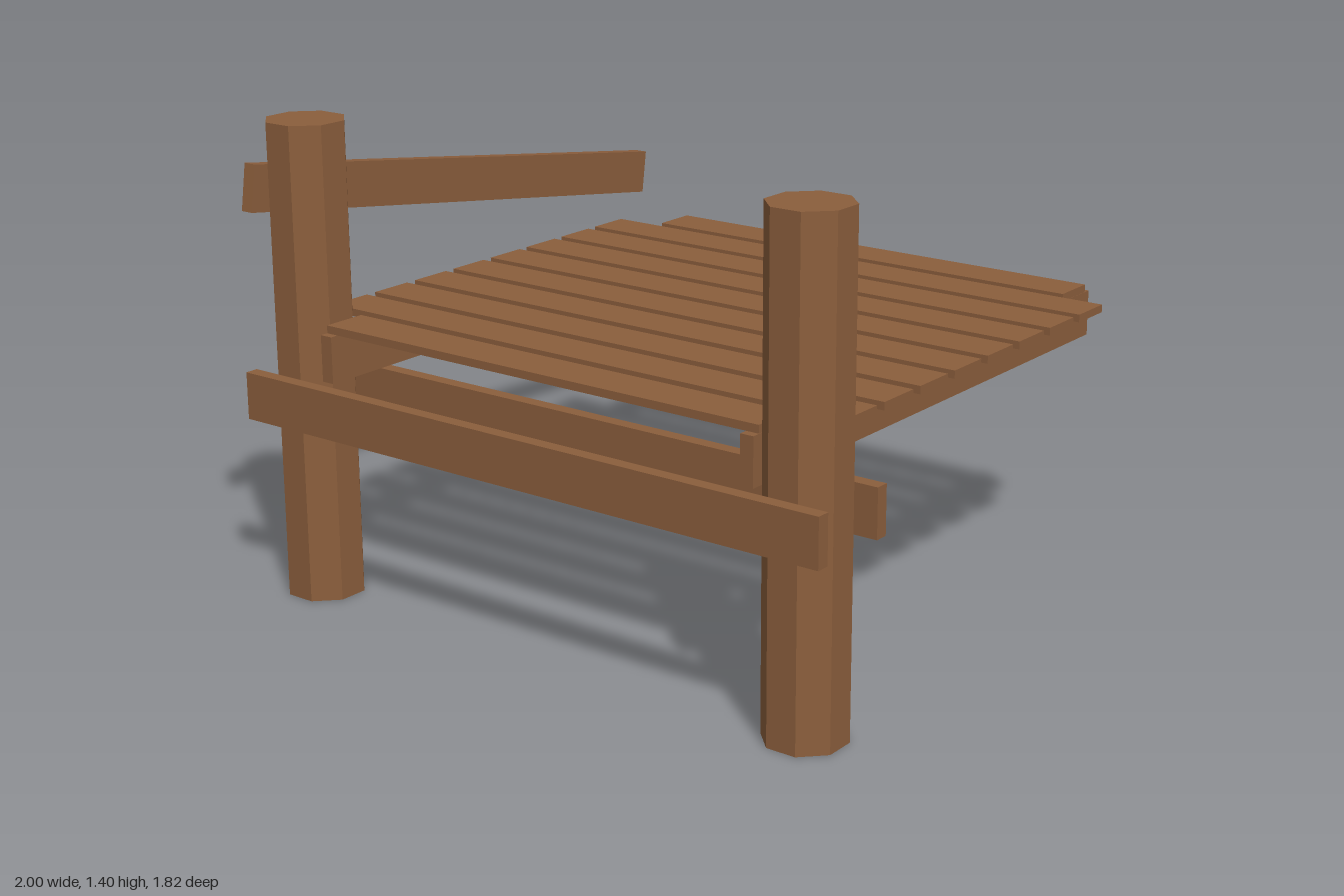
import * as THREE from 'three';

export function createModel() {
  const group = new THREE.Group();
  const wood = new THREE.MeshStandardMaterial({ color: 0x8b5e3c, flatShading: true });

  const add = (name, geometry, x, y, z) => {
    const mesh = new THREE.Mesh(geometry, wood);
    mesh.name = name;
    mesh.position.set(x, y, z);
    group.add(mesh);
    return mesh;
  };
  // Box given by its limits on each axis
  const board = (name, [x0, x1], [y0, y1], [z0, z1]) =>
    add(name, new THREE.BoxGeometry(x1 - x0, y1 - y0, z1 - z0),
      (x0 + x1) / 2, (y0 + y1) / 2, (z0 + z1) / 2);

  // Octagonal posts, flats facing the axes
  const postHeight = 1.405;
  const postRadius = 0.108 / Math.cos(Math.PI / 8);
  const postGeometry = new THREE.CylinderGeometry(postRadius, postRadius, postHeight, 8);
  postGeometry.rotateY(Math.PI / 8);
  add('rightPost', postGeometry, -0.85, postHeight / 2, 0.763);
  add('leftPost', postGeometry, 0.865, postHeight / 2, 0.763);

  // Cross beams clamping the posts front and back
  board('frontCrossBeam', [-0.983, 1], [0.535, 0.675], [0.872, 0.912]);
  board('backCrossBeam', [-0.983, 1], [0.535, 0.675], [0.612, 0.652]);

  // Joists resting on the cross beams
  board('rightJoist', [-0.742, -0.702], [0.675, 0.812], [-0.875, 0.845]);
  board('leftJoist', [0.717, 0.757], [0.675, 0.812], [-0.875, 0.845]);

  // Deck planks; the first and last are cut to the joists
  const plankCount = 10;
  for (let i = 0; i < plankCount; i++) {
    const z = 0.7525 - i * 0.1708;
    const short = i === 0 || i === plankCount - 1;
    board('deckPlank', short ? [-0.741, 0.756] : [-0.886, 0.904],
      [0.812, 0.835], [z - 0.068, z + 0.068]);
  }

  // Sloping handrail on the outside of the right post
  const rail = add('handrail', new THREE.BoxGeometry(0.041, 0.137, 1.789), -0.979, 1.078, -0.015);
  rail.rotation.x = -0.146;

  return group;
}
